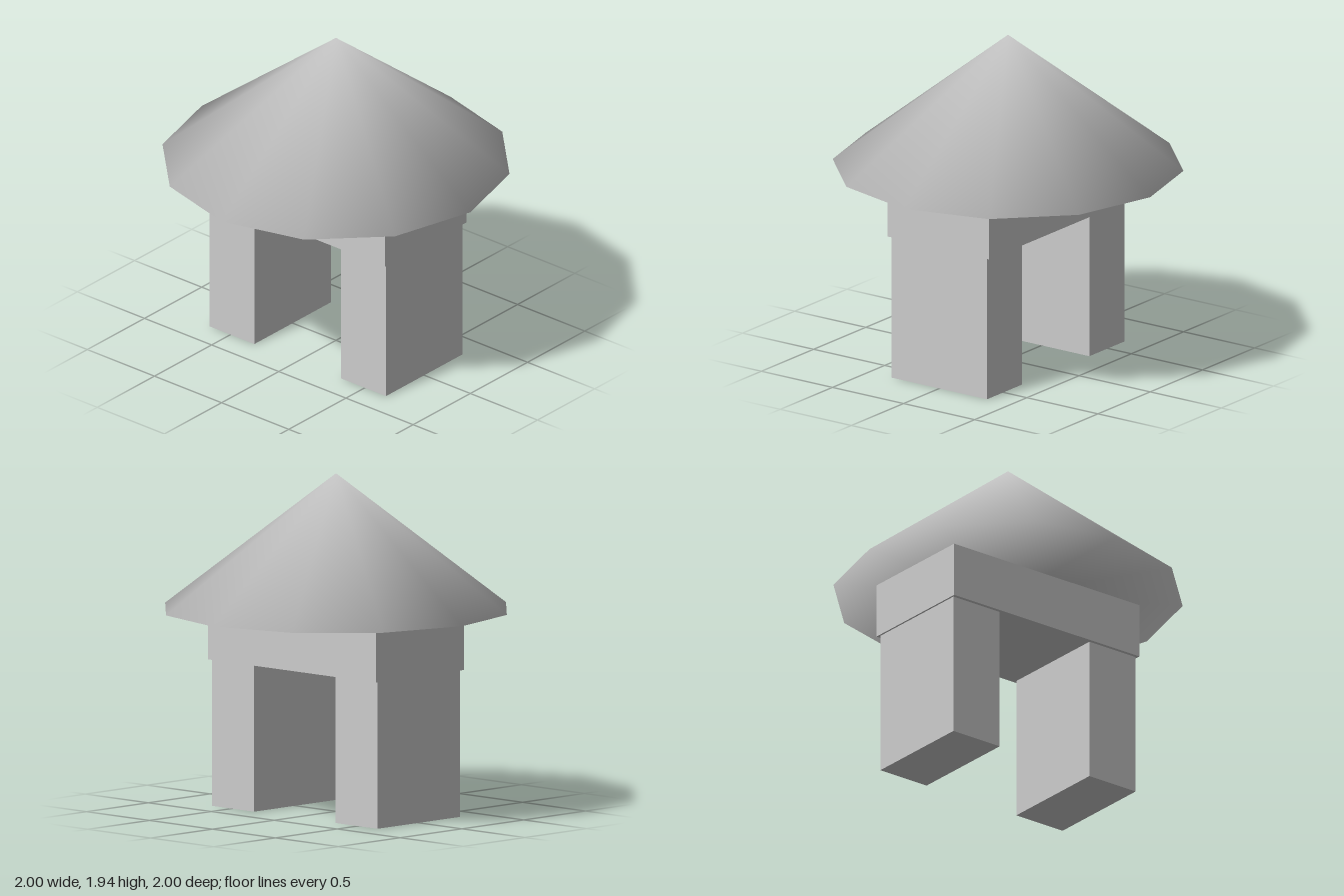
import * as THREE from 'three';
import { mergeVertices } from 'three/addons/utils/BufferGeometryUtils.js';

export function createModel() {
  const model = new THREE.Group();
  model.name = 'hut';
  const grey = new THREE.MeshStandardMaterial({ color: 0xcccccc });
  grey.name = 'light grey';

  const add = (name, geometry, x, y, z) => {
    const mesh = new THREE.Mesh(geometry, grey);
    mesh.name = name;
    mesh.position.set(x, y, z);
    model.add(mesh);
  };

  const legHeight = 0.84, beamHeight = 0.32, roofHeight = 0.776;

  // Two thick legs
  for (const [name, side] of [['leftLeg', 1], ['rightLeg', -1]]) {
    add(name, new THREE.BoxGeometry(0.334, legHeight, 0.67), side * 0.49, legHeight / 2, 0);
  }

  // Beam across the legs
  add('beam', new THREE.BoxGeometry(1.336, beamHeight, 0.712), 0, legHeight + beamHeight / 2, 0);

  // Closed twelve-sided roof, with normals shared over the apex and the rim
  const cone = new THREE.ConeGeometry(1, roofHeight, 12);
  cone.deleteAttribute('normal');
  cone.deleteAttribute('uv');
  const roof = mergeVertices(cone);
  roof.computeVertexNormals();
  add('roof', roof, 0, legHeight + beamHeight + roofHeight / 2, 0);

  return model;
}
